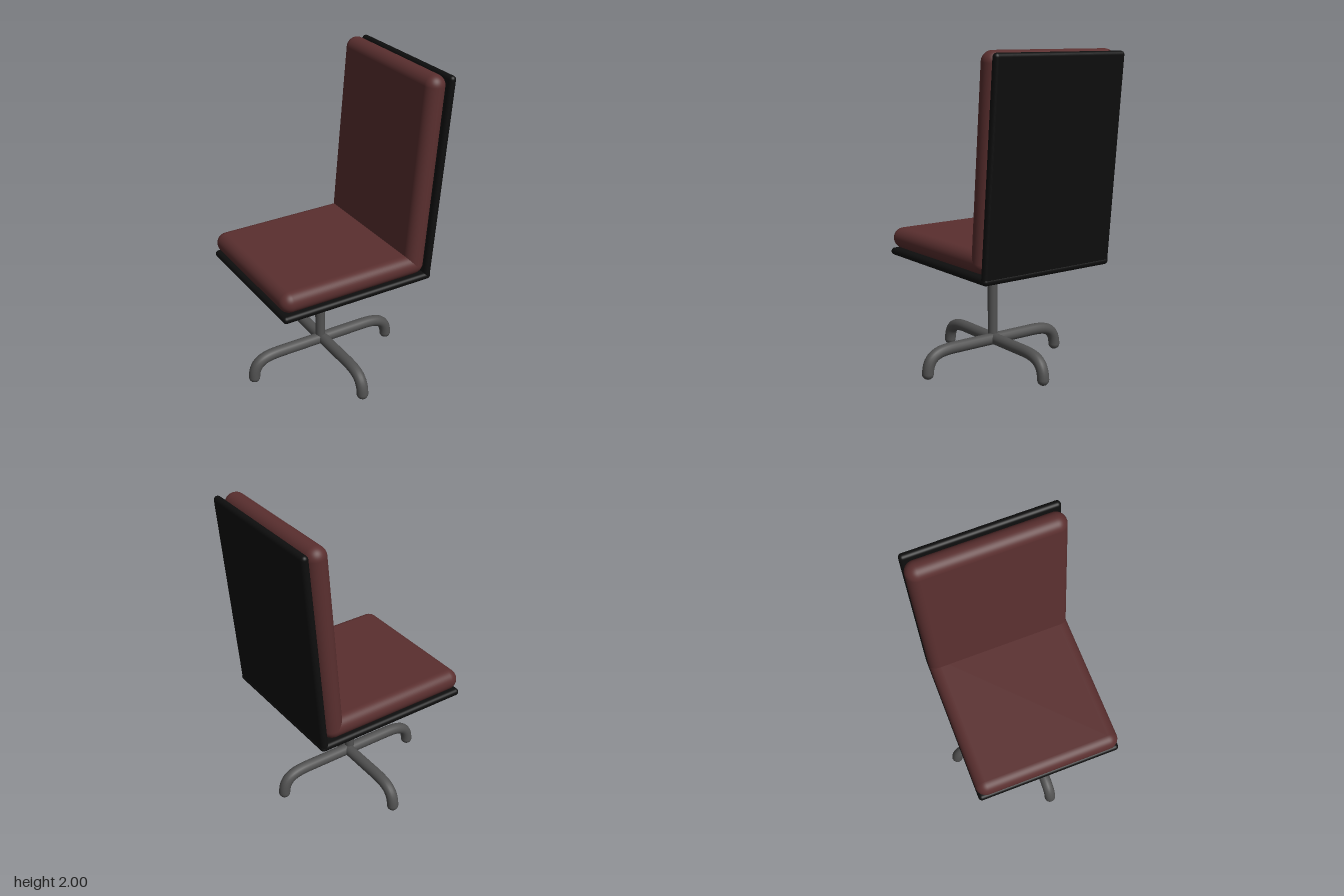
import * as THREE from 'three';
import { RoundedBoxGeometry } from 'three/addons/geometries/RoundedBoxGeometry.js';

const leather = new THREE.MeshStandardMaterial({ name: 'maroon leather', color: 0x5a2f2f });
const black = new THREE.MeshStandardMaterial({ name: 'black board', color: 0x0e0e0e });
const metal = new THREE.MeshStandardMaterial({ name: 'grey metal', color: 0x515151 });

const WIDTH = 0.945, MID_Z = -0.022;

// Rounded slab whose rounded ends are centred on two points in the x/y plane
function slab(name, material, x0, y0, x1, y1, radius) {
  const length = Math.hypot(x1 - x0, y1 - y0) + 2 * radius;
  const mesh = new THREE.Mesh(new RoundedBoxGeometry(length, 2 * radius, WIDTH, 6, radius * 0.999), material);
  mesh.name = name;
  mesh.position.set((x0 + x1) / 2, (y0 + y1) / 2, MID_Z);
  mesh.rotation.z = Math.atan2(y1 - y0, x1 - x0);
  return mesh;
}

// One bent tube foot with a rounded tip, reaching out along +x
function leg(name) {
  const r = 0.037, y = 0.168;
  const path = new THREE.CurvePath();
  path.add(new THREE.LineCurve3(new THREE.Vector3(0, y, 0), new THREE.Vector3(0.3, y, 0)));
  path.add(new THREE.CubicBezierCurve3(
    new THREE.Vector3(0.3, y, 0), new THREE.Vector3(0.42, y, 0),
    new THREE.Vector3(0.495, 0.152, 0), new THREE.Vector3(0.5, 0.038, 0)));
  const group = new THREE.Group();
  group.name = name;
  const tube = new THREE.Mesh(new THREE.TubeGeometry(path, 40, r, 16), metal);
  tube.name = name + 'Tube';
  const tip = new THREE.Mesh(new THREE.SphereGeometry(r, 16, 12), metal);
  tip.name = name + 'Tip';
  tip.position.set(0.5, 0.038, 0);
  group.add(tube, tip);
  return group;
}

export function createModel() {
  const chair = new THREE.Group();
  chair.name = 'swivelChair';

  // Cushions
  chair.add(slab('seatCushion', leather, -0.493, 0.798, 0.365, 0.798, 0.067));
  chair.add(slab('backCushion', leather, 0.37, 0.8, 0.466, 1.933, 0.066));

  // Thin boards behind and below the cushions
  chair.add(slab('seatBoard', black, -0.537, 0.708, 0.453, 0.708, 0.023));
  chair.add(slab('backBoard', black, 0.45, 0.71, 0.56, 1.963, 0.023));

  // Column
  const post = new THREE.Mesh(new THREE.CylinderGeometry(0.031, 0.031, 0.54, 24), metal);
  post.name = 'post';
  post.position.set(-0.063, 0.425, 0);
  chair.add(post);

  // Four-legged base
  for (let i = 0; i < 4; i++) {
    const foot = leg('leg' + (i + 1));
    foot.position.x = -0.05;
    foot.rotation.y = i * Math.PI / 2;
    chair.add(foot);
  }
  return chair;
}
